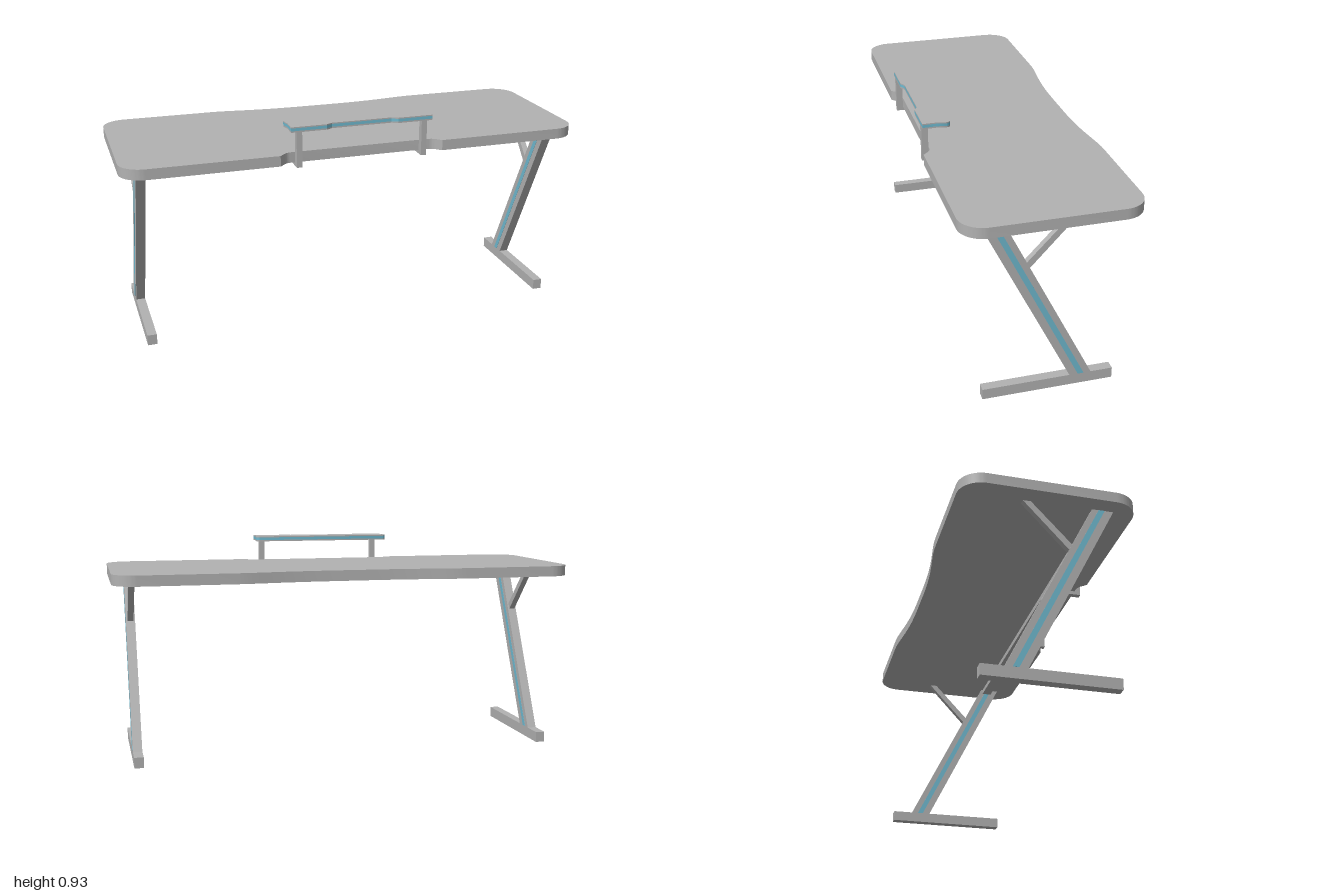
import * as THREE from 'three';
import { toCreasedNormals } from 'three/addons/utils/BufferGeometryUtils.js';

const grey = new THREE.MeshStandardMaterial({ color: 0xb2b2b2 });
grey.name = 'grey';
const blue = new THREE.MeshStandardMaterial({ color: 0x70bad0 });
blue.name = 'blue';

function add(parent, name, geometry, material) {
  const mesh = new THREE.Mesh(geometry, material);
  mesh.name = name;
  parent.add(mesh);
  return mesh;
}

// Box given by its minimum and maximum on each axis
function box(x0, x1, y0, y1, z0, z1) {
  return new THREE.BoxGeometry(x1 - x0, y1 - y0, z1 - z0)
    .translate((x0 + x1) / 2, (y0 + y1) / 2, (z0 + z1) / 2);
}

// Horizontal slab: the outline is drawn in (x, -z)
function slab(shape, y0, y1) {
  const g = new THREE.ExtrudeGeometry(shape, { depth: y1 - y0, bevelEnabled: false, curveSegments: 12 });
  g.rotateX(-Math.PI / 2).translate(0, y0, 0);
  return toCreasedNormals(g, 0.5);
}

// Upright plate: a [z, y] side profile given thickness along x
function sidePlate(points, x0, x1) {
  const shape = new THREE.Shape(points.map(([z, y]) => new THREE.Vector2(-z, y)));
  const g = new THREE.ExtrudeGeometry(shape, { depth: x1 - x0, bevelEnabled: false });
  return g.rotateY(Math.PI / 2).translate(x0, 0, 0);
}

// Desk outline: rounded corners, notched front, gently waisted back
function deskShape() {
  const r = 0.1, d = 0.362, e = d - r;
  const s = new THREE.Shape();
  s.moveTo(-1 + r, -d);
  s.lineTo(-0.355, -d);
  s.bezierCurveTo(-0.335, -0.345, -0.33, -0.327, -0.3, -0.327);
  s.lineTo(0.3, -0.327);
  s.bezierCurveTo(0.33, -0.327, 0.335, -0.345, 0.355, -d);
  s.lineTo(1 - r, -d);
  s.absarc(1 - r, -e, r, -Math.PI / 2, 0);
  s.absarc(1 - r, e, r, 0, Math.PI / 2);
  s.lineTo(0.5, d);
  s.bezierCurveTo(0.4, d, 0.32, 0.331, 0.08, 0.331);
  s.lineTo(-0.08, 0.331);
  s.bezierCurveTo(-0.32, 0.331, -0.4, d, -0.5, d);
  s.lineTo(-1 + r, d);
  s.absarc(-1 + r, e, r, Math.PI / 2, Math.PI);
  s.absarc(-1 + r, -e, r, Math.PI, Math.PI * 1.5);
  return s;
}

// Raised shelf outline: rounded rear corners, slightly pinched sides, recessed front centre
function shelfShape() {
  const s = new THREE.Shape();
  s.moveTo(-0.308, -0.354);
  s.lineTo(-0.155, -0.354);
  s.lineTo(-0.13, -0.34);
  s.lineTo(0.13, -0.34);
  s.lineTo(0.155, -0.354);
  s.lineTo(0.308, -0.354);
  s.lineTo(0.306, -0.295);
  s.lineTo(0.314, -0.26);
  s.quadraticCurveTo(0.314, -0.236, 0.292, -0.236);
  s.lineTo(-0.292, -0.236);
  s.quadraticCurveTo(-0.314, -0.236, -0.314, -0.26);
  s.lineTo(-0.306, -0.295);
  return s;
}

export function createModel() {
  const model = new THREE.Group();
  model.name = 'desk';

  add(model, 'deskTop', slab(deskShape(), 0.773, 0.818), grey);
  add(model, 'crossbar', box(-0.89, 0.89, 0.75, 0.773, 0.19, 0.235), grey);

  // Raised shelf with a coloured band round its edge
  const shelf = new THREE.Group();
  shelf.name = 'shelf';
  model.add(shelf);
  const outline = shelfShape();
  add(shelf, 'shelfBase', slab(outline, 0.909, 0.915), grey);
  add(shelf, 'shelfBand', slab(outline, 0.915, 0.927), blue);
  add(shelf, 'shelfTop', slab(outline, 0.927, 0.932), grey);

  for (const side of [-1, 1]) {
    const word = side < 0 ? 'right' : 'left';

    // Shelf post with a clamp foot under the desk edge
    const p = side * 0.273;
    add(shelf, word + 'Post', box(p - 0.012, p + 0.012, 0.757, 0.909, 0.327, 0.354), grey);
    add(shelf, word + 'Clamp', box(p - 0.012, p + 0.012, 0.757, 0.773, 0.283, 0.327), grey);

    // Slanted leg on a long foot, braced to the desk top
    const leg = new THREE.Group();
    leg.name = word + 'Leg';
    leg.position.x = side * 0.91;
    model.add(leg);
    add(leg, 'foot', box(-0.02, 0.02, 0, 0.046, -0.272, 0.272), grey);
    add(leg, 'column', sidePlate([[-0.09, 0.046], [-0.18, 0.046], [0.183, 0.773], [0.272, 0.773]], -0.02, 0.02), grey);
    add(leg, 'brace', sidePlate([[0.097, 0.6], [0.084, 0.575], [-0.1, 0.773], [-0.067, 0.773]], -0.013, 0.013), grey);

    // Thin stripes on both faces of the column
    const stripe = [[-0.125, 0.046], [-0.15, 0.046], [0.211, 0.773], [0.236, 0.773]];
    add(leg, 'stripe', sidePlate(stripe, 0.0195, 0.021), blue);
    add(leg, 'stripe', sidePlate(stripe, -0.021, -0.0195), blue);
  }
  return model;
}
